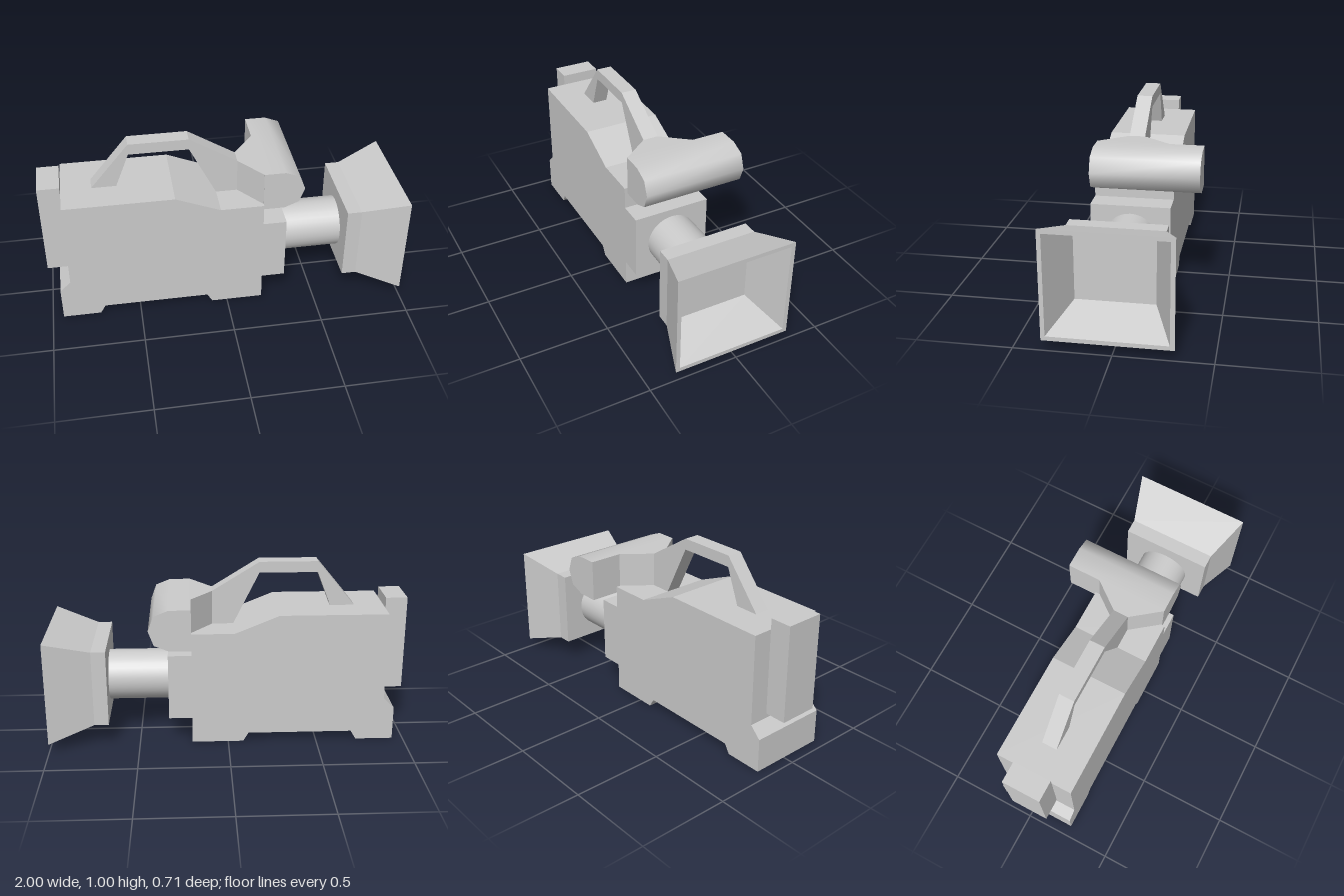
import * as THREE from 'three';
import { toCreasedNormals } from 'three/addons/utils/BufferGeometryUtils.js';

const material = new THREE.MeshStandardMaterial({ color: 0xcccccc });

function addMesh(group, name, geometry) {
  const mesh = new THREE.Mesh(geometry, material);
  mesh.name = name;
  group.add(mesh);
  return mesh;
}

// Side profile in x,y extruded from z0 to z1
function slab(points, z0, z1) {
  const shape = new THREE.Shape(points.map(([x, y]) => new THREE.Vector2(x, y)));
  return new THREE.ExtrudeGeometry(shape, { depth: z1 - z0, bevelEnabled: false }).translate(0, 0, z0);
}

// Rectangular cross-sections [x, y0, y1, z0, z1] joined in order and capped at both ends
function loft(sections) {
  const rings = sections.map(([x, y0, y1, z0, z1]) => [[x, y0, z1], [x, y0, z0], [x, y1, z0], [x, y1, z1]]);
  const positions = [];
  const quad = (a, b, c, d) => positions.push(...a, ...b, ...c, ...a, ...c, ...d);
  for (let i = 0; i < rings.length - 1; i++) {
    for (let k = 0; k < 4; k++) {
      const n = (k + 1) % 4;
      quad(rings[i][k], rings[i][n], rings[i + 1][n], rings[i + 1][k]);
    }
  }
  const first = rings[0];
  quad(first[3], first[2], first[1], first[0]);
  quad(...rings[rings.length - 1]);
  const geometry = new THREE.BufferGeometry();
  geometry.setAttribute('position', new THREE.Float32BufferAttribute(positions, 3));
  geometry.computeVertexNormals();
  return geometry;
}

export function createModel() {
  const model = new THREE.Group();
  model.name = 'videoCamera';

  // Main body with feet, sloped top and lens mount at the front
  addMesh(model, 'body', slab([
    [-0.94, 0], [-0.73, 0], [-0.7, 0.05], [-0.115, 0.05], [-0.085, 0], [0.203, 0],
    [0.203, 0.15], [0.333, 0.15], [0.333, 0.525], [0.203, 0.525],
    [0.203, 0.65], [-0.035, 0.65], [-0.28, 0.75], [-0.88, 0.75], [-0.88, 0.25], [-0.94, 0.19],
  ], -0.195, 0.242));

  // Battery pack on the back
  addMesh(model, 'battery', loft([
    [-1, 0.275, 0.81, -0.087, 0.13],
    [-0.88, 0.275, 0.81, -0.087, 0.13],
  ]));

  // Carrying handle
  addMesh(model, 'handle', slab([
    [-0.715, 0.75], [-0.58, 0.75], [-0.505, 0.943], [-0.18, 0.943], [-0.035, 0.65],
    [0.083, 0.65], [0.083, 0.842], [-0.18, 1.005], [-0.505, 1.005],
  ], -0.018, 0.068));

  // Flared arm between handle and viewfinder
  addMesh(model, 'viewfinderArm', loft([
    [0.083, 0.65, 0.842, -0.018, 0.068],
    [0.203, 0.65, 0.842, -0.17, 0.223],
  ]));

  // Viewfinder tube lying across the body, rounded at the front
  addMesh(model, 'viewfinder', toCreasedNormals(slab([
    [0.203, 0.615], [0.32, 0.615], [0.4, 0.648], [0.43, 0.729],
    [0.4, 0.81], [0.32, 0.842], [0.203, 0.842],
  ], -0.357, 0.225), Math.PI / 3));

  // Lens barrel
  const lens = addMesh(model, 'lensBarrel', new THREE.CylinderGeometry(0.143, 0.143, 0.36, 32));
  lens.rotation.z = -Math.PI / 2;
  lens.position.set(0.5, 0.338, 0.023);

  // Lens hood: outer flare, rim, then the tapered recess
  addMesh(model, 'lensHood', loft([
    [0.67, 0.133, 0.567, -0.23, 0.275],
    [0.75, 0.133, 0.567, -0.23, 0.275],
    [1, 0.055, 0.643, -0.307, 0.355],
    [1, 0.078, 0.62, -0.283, 0.333],
    [0.77, 0.175, 0.522, -0.185, 0.235],
  ]));

  return model;
}
